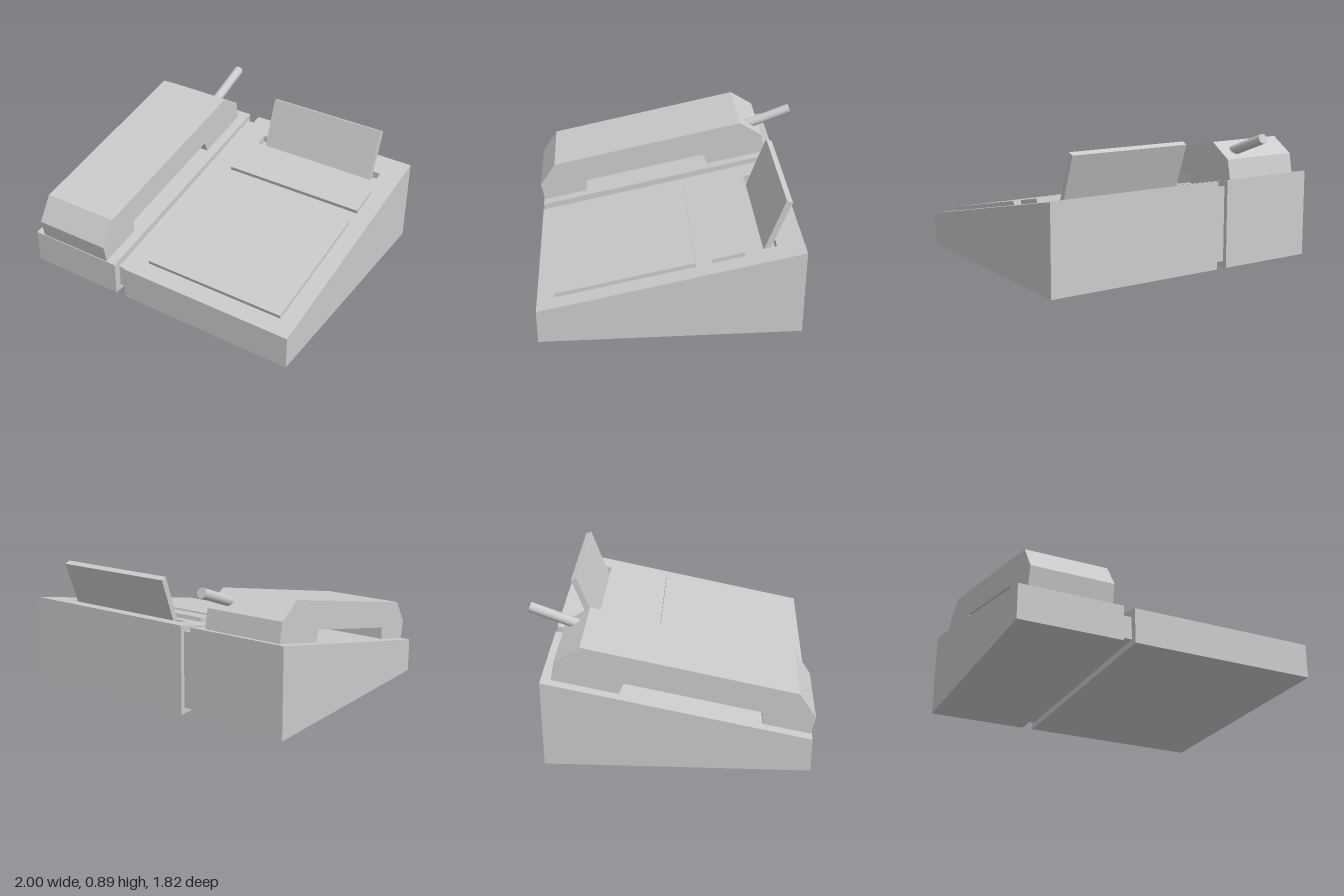
import * as THREE from 'three';

const material = new THREE.MeshStandardMaterial({ color: 0xcccccc, flatShading: true });

// Height of the sloping desktop at depth z, and a point lifted off it along its normal
const deckY = (z) => 0.23 + 0.2138 * (0.895 - z);
const lifted = (z, t) => [z + 0.209 * t, deckY(z) + 0.978 * t];

// Side profile of [z, y] points, extruded across from x0 to x1
function slab(name, x0, x1, points) {
  const shape = new THREE.Shape(points.map(([z, y]) => new THREE.Vector2(z, y)));
  const geometry = new THREE.ExtrudeGeometry(shape, { depth: x1 - x0, bevelEnabled: false });
  geometry.rotateY(-Math.PI / 2).translate(x1, 0, 0);
  const mesh = new THREE.Mesh(geometry, material);
  mesh.name = name;
  return mesh;
}

// Thin plate lying on the slope
function plate(name, x0, x1, zFront, zBack) {
  const t = 0.027;
  return slab(name, x0, x1, [
    [zFront, deckY(zFront)], lifted(zFront, t), lifted(zBack, t), [zBack, deckY(zBack)],
  ]);
}

export function createModel() {
  const model = new THREE.Group();
  const front = 0.895, back = -0.775;
  const wedge = [[front, 0], [front, deckY(front)], [back, deckY(back)], [back, 0]];

  // Handset cradle base
  model.add(slab('cradleBase', -1, -0.32, wedge));

  // Main base, with a shallow slot across the back of its top
  const sF = -0.525, sB = -0.61, depth = 0.05;
  const slotted = [
    [front, 0], [front, deckY(front)], [sF, deckY(sF)], [sF, deckY(sF) - depth],
    [sB, deckY(sB) - depth], [sB, deckY(sB)], [back, deckY(back)], [back, 0],
  ];
  const mainBase = new THREE.Group();
  mainBase.name = 'mainBase';
  mainBase.add(
    slab('baseInnerSide', -0.245, -0.093, wedge),
    slab('baseSlotted', -0.093, 0.85, slotted),
    slab('baseOuterSide', 0.85, 1, wedge),
  );
  model.add(mainBase);

  // Recessed strip joining the two bases
  model.add(slab('joiningStrip', -0.32, -0.245, [
    [0.848, 0.04], [0.848, 0.19], [-0.745, 0.545], [-0.745, 0.04],
  ]));

  // Panels on the main base
  model.add(plate('largePanel', -0.12, 0.885, 0.78, -0.105));
  model.add(plate('smallPanel', -0.12, 0.885, -0.205, -0.41));

  // Leaning card standing in the slot
  model.add(slab('card', -0.04, 0.803, [
    [-0.536, 0.495], [-0.663, 0.848], [-0.702, 0.832], [-0.58, 0.51],
  ]));

  // Handset bridging the cradle
  model.add(slab('handset', -0.935, -0.39, [
    [0.89, 0.231], [0.913, 0.353], [0.807, 0.514], [-0.53, 0.803], [-0.69, 0.704],
    [-0.715, 0.574], [-0.3, 0.485], [-0.267, 0.56], [0.585, 0.378], [0.585, 0.296],
  ]));

  // Round rod sticking out of the handset's back end
  const from = new THREE.Vector3(-0.504, 0.735, -0.58);
  const to = new THREE.Vector3(-0.504, 0.857, -0.9);
  const axis = to.clone().sub(from);
  const rod = new THREE.Mesh(
    new THREE.CylinderGeometry(0.033, 0.033, axis.length(), 24),
    new THREE.MeshStandardMaterial({ color: 0xcccccc }),
  );
  rod.position.copy(from).add(to).multiplyScalar(0.5);
  rod.quaternion.setFromUnitVectors(new THREE.Vector3(0, 1, 0), axis.normalize());
  rod.name = 'rod';
  model.add(rod);

  return model;
}
